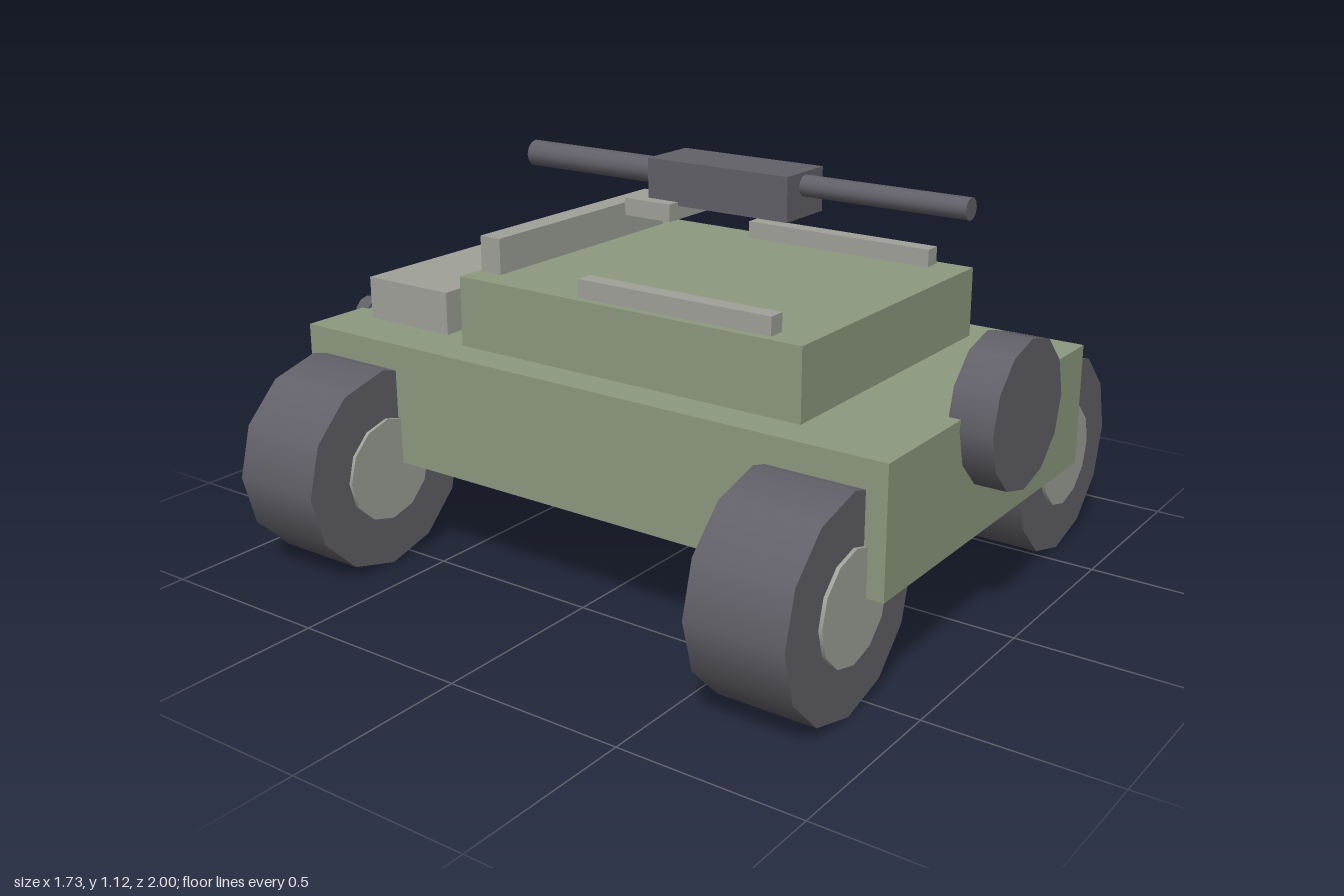
import * as THREE from 'three';

export function createModel() {
  const model = new THREE.Group();
  const paint = (name, color) => {
    const m = new THREE.MeshStandardMaterial({ color });
    m.name = name;
    return m;
  };
  const green = paint('olive green', 0x8e9a80);
  const grey = paint('light grey', 0xa0a39a);
  const dark = paint('dark rubber', 0x626169);

  const add = (name, geometry, material, x, y, z) => {
    const mesh = new THREE.Mesh(geometry, material);
    mesh.name = name;
    mesh.position.set(x, y, z);
    model.add(mesh);
  };
  // Box given by half width, height range and depth range
  const box = (name, material, halfW, y0, y1, z0, z1, x = 0) =>
    add(name, new THREE.BoxGeometry(halfW * 2, y1 - y0, z1 - z0), material,
      x, (y0 + y1) / 2, (z0 + z1) / 2);
  // Round part whose axis runs along z
  const rod = (name, material, r, x, y, z0, z1, sides = 12) =>
    add(name, new THREE.CylinderGeometry(r, r, z1 - z0, sides).rotateX(Math.PI / 2),
      material, x, y, (z0 + z1) / 2);

  // Hull and cabin
  box('hull', green, 0.537, 0.29, 0.63, -0.94, 0.913);
  box('cabin', green, 0.438, 0.63, 0.823, -0.45, 0.622);

  // Light grey fittings
  box('rearDeckBox', grey, 0.39, 0.63, 0.75, -0.842, -0.55);
  box('bumper', grey, 0.437, 0.29, 0.43, -1, -0.94);
  box('roofCrossBar', grey, 0.365, 0.823, 0.922, -0.437, -0.37);

  // Mounted gun
  box('gunMount', grey, 0.122, 0.973, 1.02, -0.135, 0.012);
  box('gunBody', dark, 0.085, 1.01, 1.128, -0.085, 0.352);
  rod('gunBarrel', dark, 0.029, 0, 1.092, 0.35, 0.82);
  rod('gunRearTube', dark, 0.037, 0, 1.077, -0.548, -0.083);

  // Spare wheel on the front plate
  rod('spareWheel', dark, 0.195, 0, 0.605, 0.88, 1);

  for (const side of [-1, 1]) {
    box('roofRail', grey, 0.024, 0.823, 0.872, -0.062, 0.522, side * 0.392);
    rod('lamp', dark, 0.049, side * 0.293, 0.604, -0.963, -0.918);
    // Wheels with their axles along the length of the hull
    for (const z of [0.722, -0.744]) {
      rod('wheel', dark, 0.282, side * 0.585, 0.286, z - 0.135, z + 0.135);
      rod('hub', grey, 0.145, side * 0.585, 0.286, z - 0.145, z + 0.145);
    }
  }
  return model;
}
